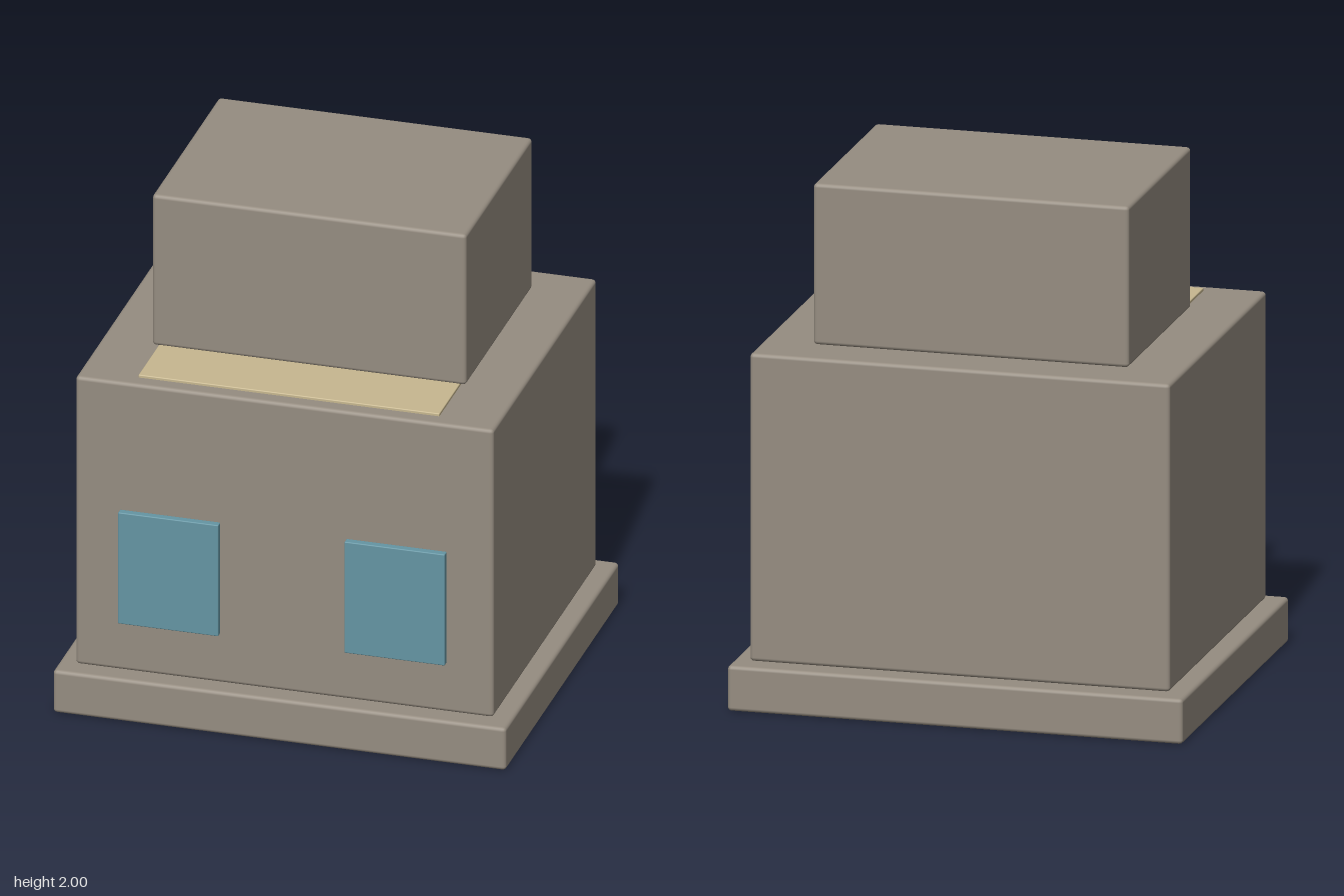
import * as THREE from 'three';
import { RoundedBoxGeometry } from 'three/addons/geometries/RoundedBoxGeometry.js';

function material(name, color) {
  const m = new THREE.MeshStandardMaterial({ color });
  m.name = name;
  return m;
}

export function createModel() {
  const model = new THREE.Group();
  model.name = 'house';
  const stone = material('stone', 0x968d81);
  const glass = material('blue glass', 0x6596a4);
  const sand = material('sand', 0xc8b890);

  // Softly bevelled box given by its lower and upper corners
  function block(name, mat, [x0, y0, z0], [x1, y1, z1], radius) {
    const geometry = new RoundedBoxGeometry(x1 - x0, y1 - y0, z1 - z0, 2, radius);
    const mesh = new THREE.Mesh(geometry, mat);
    mesh.name = name;
    mesh.position.set((x0 + x1) / 2, (y0 + y1) / 2, (z0 + z1) / 2);
    model.add(mesh);
  }

  // Stacked storeys
  block('plinth', stone, [-0.88, 0, -0.745], [0.88, 0.175, 0.745], 0.015);
  block('lowerStorey', stone, [-0.812, 0.18, -0.678], [0.812, 1.37, 0.678], 0.015);
  block('upperStorey', stone, [-0.61, 1.377, -0.52], [0.61, 2, 0.355], 0.015);

  // Terrace running forward from beneath the upper storey
  block('terrace', sand, [-0.585, 1.355, 0.2], [0.585, 1.381, 0.618], 0.004);

  // Pair of window panes standing just off the front wall
  for (const [side, x] of [['left', 0.44], ['right', -0.44]]) {
    block(side + 'Window', glass, [x - 0.195, 0.39, 0.688], [x + 0.195, 0.85, 0.718], 0.004);
  }
  return model;
}
